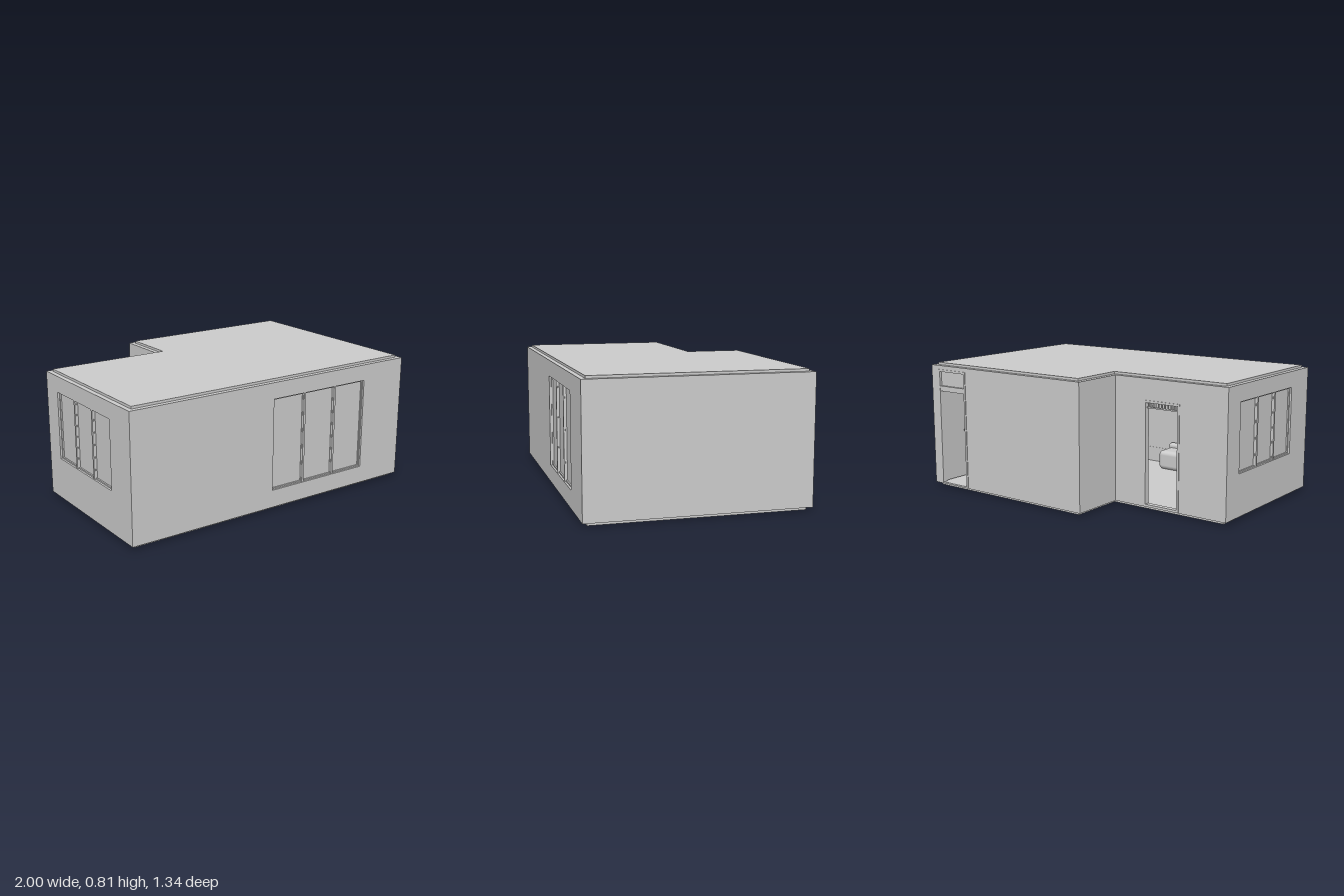
import * as THREE from 'three';
import { RoundedBoxGeometry } from 'three/addons/geometries/RoundedBoxGeometry.js';

const grey = new THREE.MeshStandardMaterial({ color: 0xcccccc });
grey.name = 'plain grey';
const T = 0.03; // wall thickness

function add(parent, name, geometry, x = 0, y = 0, z = 0) {
  const mesh = new THREE.Mesh(geometry, grey);
  mesh.name = name;
  mesh.position.set(x, y, z);
  parent.add(mesh);
  return mesh;
}

// Box given by its lower and upper corners
function block(parent, name, x0, x1, y0, y1, z0, z1) {
  return add(parent, name, new THREE.BoxGeometry(x1 - x0, y1 - y0, z1 - z0),
    (x0 + x1) / 2, (y0 + y1) / 2, (z0 + z1) / 2);
}

function rectPath(path, x0, x1, y0, y1) {
  path.moveTo(x0, y0);
  path.lineTo(x1, y0);
  path.lineTo(x1, y1);
  path.lineTo(x0, y1);
  path.closePath();
  return path;
}

// Wall whose outer face is local z = 0, with rectangular openings [x0, x1, y0, y1]
function wall(parent, name, x0, x1, openings = []) {
  const shape = rectPath(new THREE.Shape(), x0, x1, 0.02, 0.8);
  for (const o of openings) shape.holes.push(rectPath(new THREE.Path(), ...o));
  const group = new THREE.Group();
  group.name = name;
  parent.add(group);
  add(group, name + 'Panel', new THREE.ExtrudeGeometry(shape, { depth: T, bevelEnabled: false }), 0, 0, -T);
  return group;
}

// Rectangular frame of width w between depths z0 and z1
function frame(parent, name, x0, x1, y0, y1, w, z0, z1) {
  const shape = rectPath(new THREE.Shape(), x0, x1, y0, y1);
  shape.holes.push(rectPath(new THREE.Path(), x0 + w, x1 - w, y0 + w, y1 - w));
  add(parent, name, new THREE.ExtrudeGeometry(shape, { depth: z1 - z0, bevelEnabled: false }), 0, 0, z0);
}

// Three-pane window set back in its opening
function tripleWindow(parent, x0, x1, y0, y1) {
  const step = (x1 - x0) / 3;
  for (let i = 0; i < 3; i++) {
    const a = x0 + i * step, b = a + step;
    frame(parent, 'windowFrame', a, b, y0, y1, 0.008, -0.028, -0.012);
    block(parent, 'windowPane', a + 0.006, b - 0.006, y0 + 0.006, y1 - 0.006, -0.028, -0.021);
    if (i) block(parent, 'mullion', a - 0.007, a + 0.007, y0, y1, -0.028, -0.003);
  }
}

function slab(parent, name, y0, y1) {
  const pts = [[-0.97, 0.64], [0.97, 0.64], [0.97, -0.64], [-0.19, -0.64], [-0.19, -0.29], [-0.97, -0.29]];
  const shape = new THREE.Shape(pts.map(([x, z]) => new THREE.Vector2(x, -z)));
  const g = new THREE.ExtrudeGeometry(shape, { depth: y1 - y0, bevelEnabled: false });
  g.rotateX(-Math.PI / 2);
  add(parent, name, g, 0, y0, 0);
}

export function createModel() {
  const model = new THREE.Group();
  model.name = 'room';

  // Floor and ceiling fill the inside of the wall ring
  slab(model, 'floor', 0, 0.03);
  slab(model, 'ceiling', 0.775, 0.815);

  // Front wall with the tall window
  const front = wall(model, 'frontWall', -1, 1, [[-0.03, 0.68, 0.13, 0.7]]);
  front.position.z = 0.67;
  tripleWindow(front, -0.03, 0.68, 0.13, 0.7);

  // Side walls
  const right = wall(model, 'plainSideWall', -0.64, 0.64);
  right.rotation.y = Math.PI / 2;
  right.position.x = 1;
  const left = wall(model, 'windowSideWall', -0.29, 0.64, [[-0.18, 0.45, 0.28, 0.7]]);
  left.rotation.y = -Math.PI / 2;
  left.position.x = -1;
  tripleWindow(left, -0.18, 0.45, 0.28, 0.7);
  const step = wall(model, 'stepWall', -0.64, -0.32);
  step.rotation.y = -Math.PI / 2;
  step.position.x = -0.22;

  // Back wall: doorway with a transom (local x runs opposite to model x)
  const back = wall(model, 'backWall', -1, 0.22, [[-0.935, -0.705, 0.03, 0.77]]);
  back.rotation.y = Math.PI;
  back.position.z = -0.67;
  frame(back, 'transomFrame', -0.94, -0.7, 0.655, 0.775, 0.014, -T, 0.004);
  block(back, 'transomPane', -0.93, -0.71, 0.665, 0.765, -0.02, -0.012);
  block(back, 'transomRail', -0.935, -0.705, 0.635, 0.657, -T, 0.002);
  for (const x of [-0.94, -0.714]) block(back, 'doorJamb', x, x + 0.014, 0.022, 0.66, -T, 0.004);

  // Door leaf swung open inwards, with its lever handle
  const door = new THREE.Group();
  door.name = 'openDoor';
  model.add(door);
  block(door, 'doorLeaf', 0.928, 0.942, 0.035, 0.635, -0.64, -0.42);
  block(door, 'handleStem', 0.908, 0.928, 0.345, 0.353, -0.45, -0.442);
  block(door, 'handleLever', 0.904, 0.911, 0.344, 0.354, -0.49, -0.442);

  // Recessed back wall: open doorway with a slatted vent on top
  const recess = wall(model, 'recessedBackWall', 0.19, 1, [[0.435, 0.675, 0.03, 0.665]]);
  recess.rotation.y = Math.PI;
  recess.position.z = -0.32;
  frame(recess, 'doorwayFrame', 0.43, 0.68, 0.022, 0.67, 0.014, -T, 0.004);
  block(recess, 'ventRail', 0.44, 0.67, 0.622, 0.63, -0.02, -0.008);
  for (let i = 0; i < 10; i++) {
    const x = 0.455 + i * 0.022;
    block(recess, 'ventSlat', x, x + 0.008, 0.628, 0.658, -0.018, -0.01);
  }

  // Curtain of vertical folds hanging inside the side window
  for (let i = 0; i < 15; i++) {
    add(model, 'curtainFold', new THREE.CylinderGeometry(0.02, 0.02, 0.68, 10), -0.945, 0.41, -0.19 + i * 0.046);
  }
  block(model, 'curtainRail', -0.97, -0.93, 0.75, 0.765, -0.22, 0.49);

  // Low couch against the front wall
  const couch = new THREE.Group();
  couch.name = 'couch';
  model.add(couch);
  add(couch, 'couchSeat', new RoundedBoxGeometry(0.5, 0.13, 0.17, 3, 0.03), -0.25, 0.095, 0.545);
  add(couch, 'couchBack', new RoundedBoxGeometry(0.5, 0.16, 0.05, 3, 0.02), -0.25, 0.11, 0.612);

  // Ceiling fan
  const fan = new THREE.Group();
  fan.name = 'ceilingFan';
  fan.position.set(0.37, 0, -0.05);
  model.add(fan);
  add(fan, 'fanRod', new THREE.CylinderGeometry(0.006, 0.006, 0.07, 10), 0, 0.745, 0);
  add(fan, 'fanHub', new THREE.CylinderGeometry(0.025, 0.03, 0.025, 16), 0, 0.71, 0);
  for (let i = 0; i < 4; i++) {
    const arm = new THREE.Group();
    arm.name = 'fanBlade';
    arm.rotation.y = i * Math.PI / 2 + 0.4;
    fan.add(arm);
    add(arm, 'blade', new THREE.BoxGeometry(0.11, 0.005, 0.03), 0.08, 0.71, 0).rotation.x = 0.25;
  }
  return model;
}
